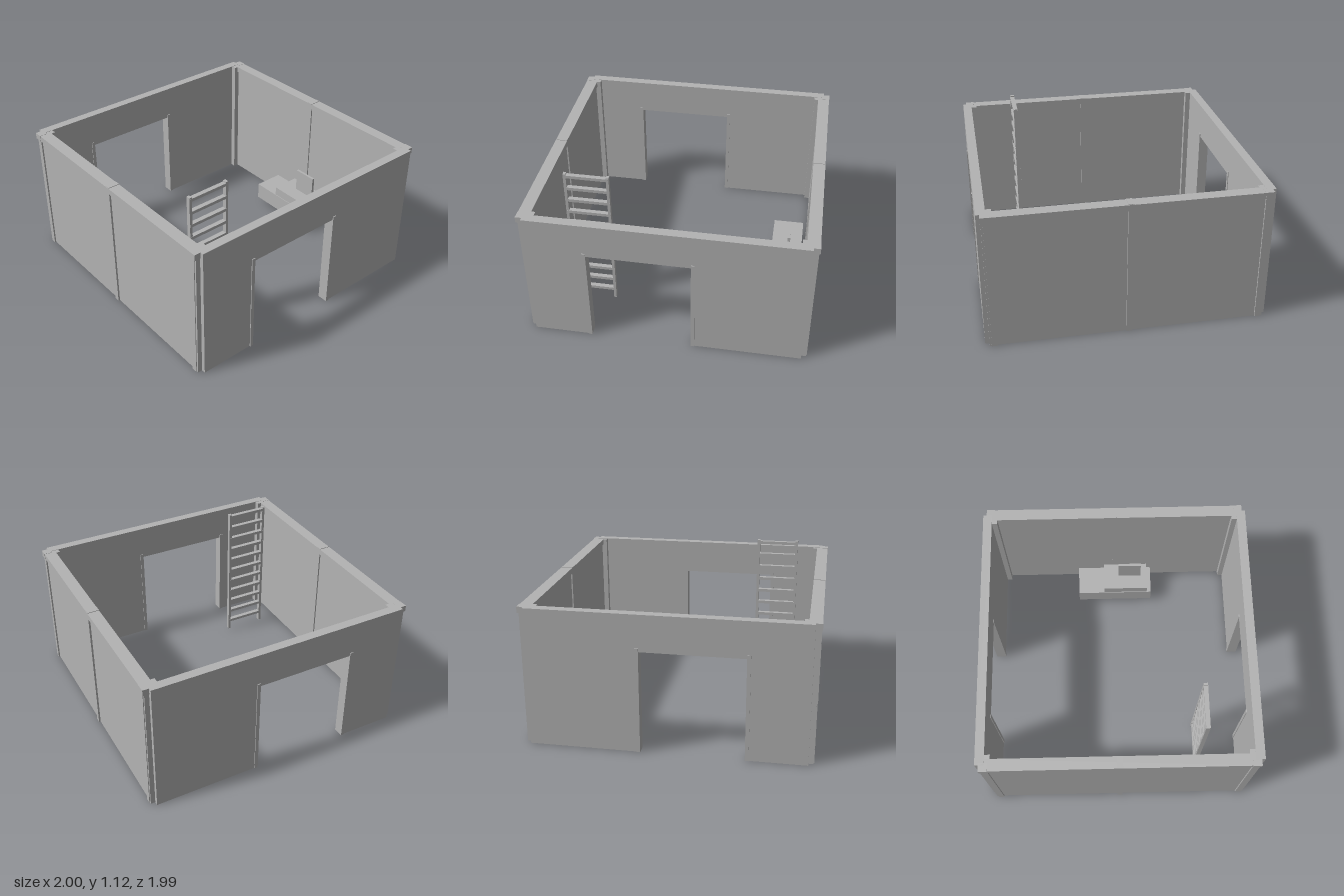
import * as THREE from 'three';

const grey = new THREE.MeshStandardMaterial({ color: 0xb3b3b3 });
grey.name = 'plain grey';

// Box given by its minimum and maximum on each axis
function box(name, x0, x1, y0, y1, z0, z1) {
  const m = new THREE.Mesh(new THREE.BoxGeometry(x1 - x0, y1 - y0, z1 - z0), grey);
  m.position.set((x0 + x1) / 2, (y0 + y1) / 2, (z0 + z1) / 2);
  m.name = name;
  return m;
}

// End wall with a doorway and its two jambs; s = +1 front, -1 back
function doorWall(s) {
  const g = new THREE.Group();
  g.name = s > 0 ? 'frontWall' : 'backWall';
  const outline = [[-0.955, 0], [-0.54, 0], [-0.54, 0.73], [0.185, 0.73],
    [0.185, 0], [0.955, 0], [0.955, 0.988], [-0.955, 0.988]];
  const shape = new THREE.Shape(outline.map(([x, y]) => new THREE.Vector2(x, y)));
  const wall = new THREE.Mesh(new THREE.ExtrudeGeometry(shape, { depth: 0.065, bevelEnabled: false }), grey);
  wall.position.z = s > 0 ? 0.922 : -0.987;
  wall.name = 'doorwayPanel';
  g.add(wall);
  const z = [s * 0.917, s * 0.993].sort((a, b) => a - b);
  g.add(box('doorJamb', -0.56, -0.535, 0, 0.755, ...z));
  g.add(box('doorJamb', 0.178, 0.203, 0, 0.755, ...z));
  return g;
}

// Side wall: recessed panel, top beam, centre post and corner posts
function sideWall(s) {
  const g = new THREE.Group();
  g.name = s > 0 ? 'leftWall' : 'rightWall';
  const part = (name, a, b, y0, y1, z0, z1) =>
    g.add(box(name, Math.min(s * a, s * b), Math.max(s * a, s * b), y0, y1, z0, z1));
  part('sidePanel', 0.922, 0.982, 0, 0.96, -0.92, 0.92);
  part('topBeam', 0.912, 0.998, 0.943, 0.986, -0.955, 0.955);
  part('centrePost', 0.912, 0.995, 0, 0.99, -0.02, 0.02);
  for (const e of [-1, 1]) {
    const range = (a, b) => (e > 0 ? [a, b] : [-b, -a]);
    part('cornerPost', 0.9, 0.988, 0, 0.986, ...range(0.905, 0.958));
    part('innerCornerPost', 0.883, 0.94, 0, 0.986, ...range(0.883, 0.94));
    part('cornerRib', 0.94, 0.993, 0, 0.986, ...range(0.905, 0.945));
    part('cornerCap', 0.94, 1, 0.943, 0.988, ...range(0.9, 0.962));
  }
  return g;
}

function ladder() {
  const g = new THREE.Group();
  g.name = 'ladder';
  for (const x of [-0.765, -0.465]) g.add(box('ladderRail', x, x + 0.02, 0.018, 1.115, 0.582, 0.612));
  for (let i = 1; i <= 11; i++) {
    const y = i * 0.0995;
    g.add(box('rung', -0.76, -0.45, y - 0.011, y + 0.011, 0.581, 0.613));
  }
  return g;
}

// Low bench with a raised block and an upright plate
function bench() {
  const g = new THREE.Group();
  g.name = 'bench';
  g.add(box('benchBase', 0.66, 0.89, 0.05, 0.18, -0.3, 0.295));
  g.add(box('benchBlock', 0.665, 0.885, 0.18, 0.25, -0.09, 0.262));
  g.add(box('uprightPlate', 0.78, 0.8, 0.25, 0.43, 0.03, 0.21));
  return g;
}

export function createModel() {
  const model = new THREE.Group();
  model.name = 'walledRoom';
  for (const s of [1, -1]) model.add(doorWall(s), sideWall(s));
  model.add(ladder(), bench());
  return model;
}
